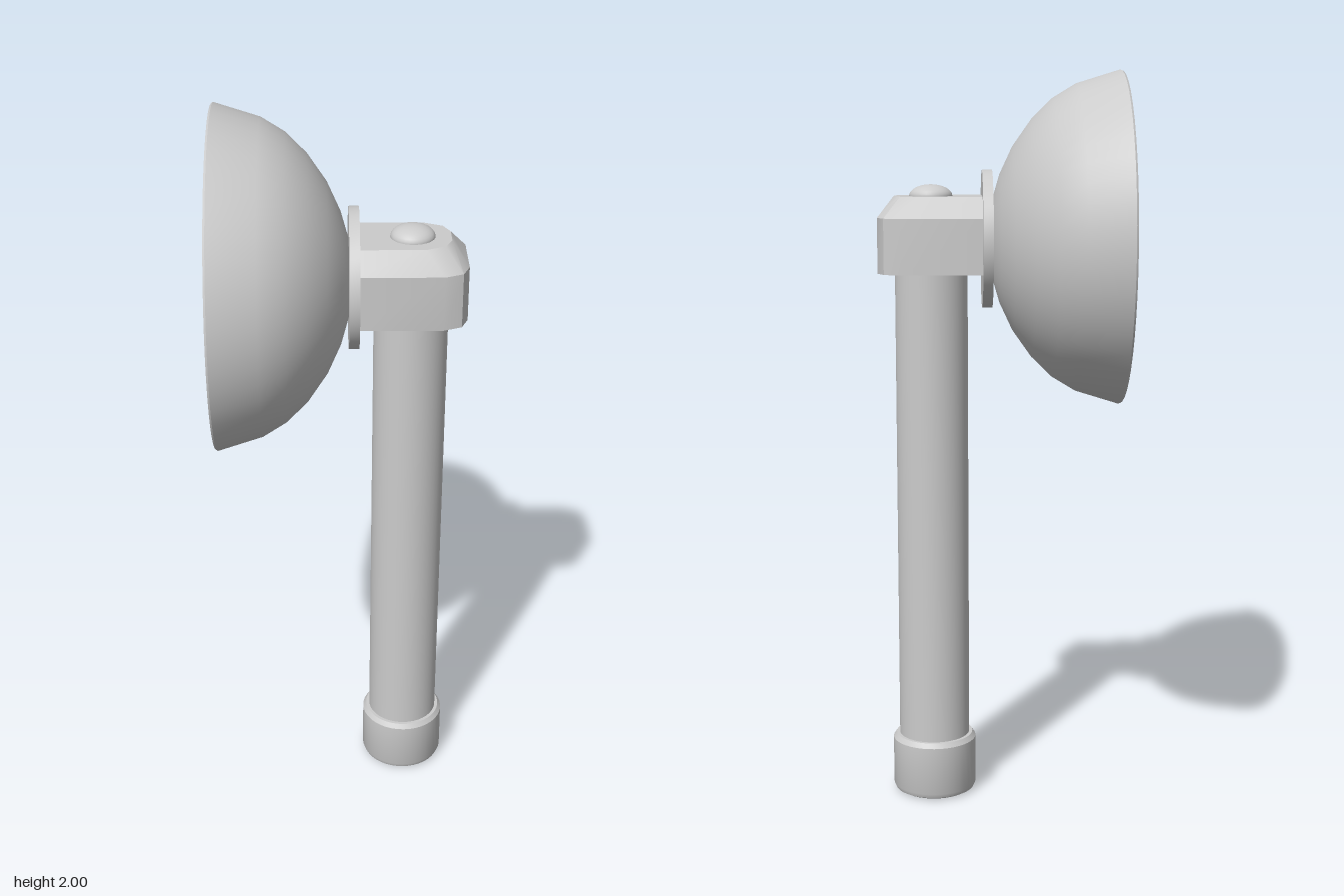
import * as THREE from 'three';
import { toCreasedNormals } from 'three/addons/utils/BufferGeometryUtils.js';

const AXIS_Y = 1.555;   // height of the reflector axis
const HANDLE_X = 0.184; // centre of the handle

const material = new THREE.MeshStandardMaterial({ color: 0xcccccc });

function addMesh(group, name, geometry, x = 0, y = 0, z = 0) {
  const mesh = new THREE.Mesh(geometry, material);
  mesh.name = name;
  mesh.position.set(x, y, z);
  group.add(mesh);
  return mesh;
}

// Revolves [radius, height] pairs around y, keeping hard edges sharp
function turned(points, segments = 40, crease = 0.55) {
  const profile = points.map(([r, h]) => new THREE.Vector2(r, h));
  return toCreasedNormals(new THREE.LatheGeometry(profile, segments), crease);
}

// Lofts rings of [x, z] corners at given heights, with flat caps
function loft(rings) {
  const position = [];
  const corner = (ring, i) => [ring.outline[i][0], ring.y, ring.outline[i][1]];
  const tri = (a, b, c) => position.push(...a, ...b, ...c);
  const n = rings[0].outline.length;
  for (let k = 0; k < rings.length - 1; k++) {
    const low = rings[k], up = rings[k + 1];
    for (let i = 0; i < n; i++) {
      const j = (i + 1) % n;
      tri(corner(low, i), corner(low, j), corner(up, j));
      tri(corner(low, i), corner(up, j), corner(up, i));
    }
  }
  const bottom = rings[0], top = rings[rings.length - 1];
  for (let i = 1; i < n - 1; i++) {
    tri(corner(top, 0), corner(top, i), corner(top, i + 1));
    tri(corner(bottom, 0), corner(bottom, i + 1), corner(bottom, i));
  }
  const geometry = new THREE.BufferGeometry();
  geometry.setAttribute('position', new THREE.Float32BufferAttribute(position, 3));
  return toCreasedNormals(geometry, 0.5);
}

// Mirrors half an outline in z
const mirrored = (half) => [...half, ...half.map(([x, z]) => [x, -z]).reverse()];

export function createModel() {
  const model = new THREE.Group();
  model.name = 'handLamp';

  // Handle with a rounded end cap
  addMesh(model, 'handle', turned([[0, 0.1], [0.098, 0.1], [0.098, 1.48], [0, 1.48]]), HANDLE_X);
  addMesh(model, 'endCap', turned([
    [0, 0], [0.1, 0], [0.111, 0.006], [0.116, 0.018],
    [0.116, 0.152], [0.107, 0.165], [0, 0.165],
  ]), HANDLE_X);

  // Head block with bevelled top and cut corners
  const body = mirrored([[0.04, 0.137], [0.26, 0.137], [0.308, 0.117], [0.326, 0.073]]);
  const lid = mirrored([[0.04, 0.091], [0.215, 0.091], [0.265, 0.068], [0.283, 0.03]]);
  addMesh(model, 'headBlock', loft([
    { y: 1.468, outline: body }, { y: 1.615, outline: body }, { y: 1.67, outline: lid },
  ]));

  // Domed push button
  const button = addMesh(model, 'button', new THREE.SphereGeometry(0.058, 32, 16), HANDLE_X, 1.67, 0);
  button.scale.y = 0.53;

  // Parts turned about the horizontal lamp axis
  const lamp = new THREE.Group();
  lamp.name = 'lamp';
  lamp.position.y = AXIS_Y;
  lamp.rotation.z = -Math.PI / 2;
  model.add(lamp);

  addMesh(lamp, 'flange', turned([[0, 0.02], [0.184, 0.02], [0.184, 0.047], [0, 0.047]], 48));

  // Reflector bowl: inner wall, rim, outer wall
  addMesh(lamp, 'reflector', turned([
    [0, 0.008], [0.09, -0.002], [0.158, -0.02], [0.232, -0.052], [0.302, -0.1],
    [0.356, -0.155], [0.394, -0.213], [0.428, -0.325],
    [0.443, -0.325], [0.446, -0.32], [0.41, -0.203], [0.372, -0.14],
    [0.318, -0.085], [0.247, -0.035], [0.172, 0], [0.1, 0.021], [0, 0.03],
  ], 48));

  // Bulb on a short socket
  addMesh(lamp, 'bulbSocket', new THREE.CylinderGeometry(0.04, 0.04, 0.1, 24), 0, -0.035, 0);
  addMesh(lamp, 'bulb', new THREE.SphereGeometry(0.095, 32, 20), 0, -0.115, 0);

  return model;
}
